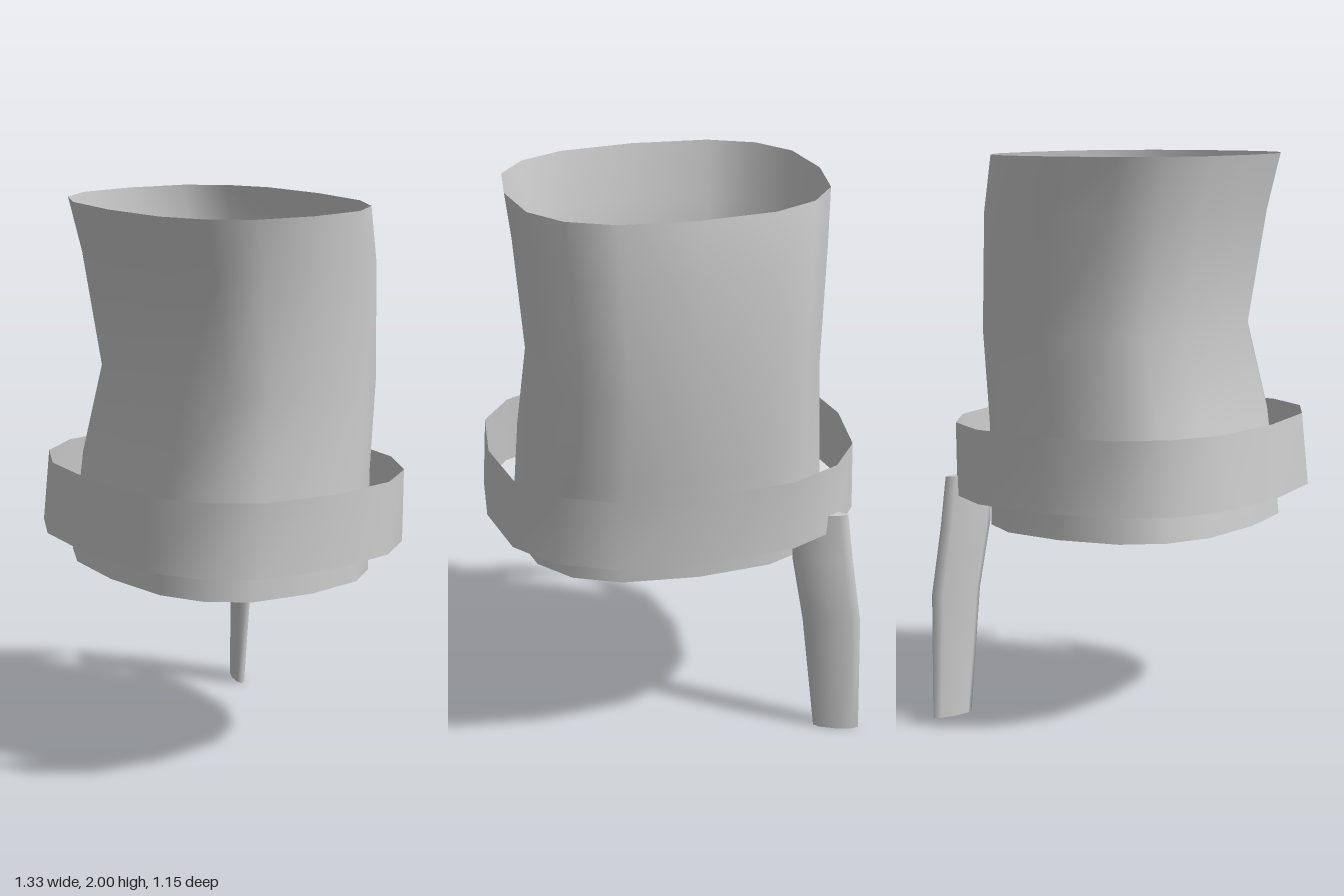
import * as THREE from 'three';

const grey = new THREE.MeshStandardMaterial({ color: 0xcccccc, side: THREE.DoubleSide });
grey.name = 'light grey';

// Joins a stack of closed rings (arrays of [x, y, z]) into a smooth skin
function loft(rings) {
  const n = rings[0].length;
  const index = [];
  for (let i = 0; i < rings.length - 1; i++) {
    for (let j = 0; j < n; j++) {
      const a = i * n + j, b = i * n + (j + 1) % n;
      index.push(a, a + n, b, b, a + n, b + n);
    }
  }
  const geometry = new THREE.BufferGeometry();
  geometry.setAttribute('position', new THREE.Float32BufferAttribute(rings.flat(2), 3));
  geometry.setIndex(index);
  geometry.computeVertexNormals();
  return geometry;
}

// Rounded-square ring with given half width, front z and back z
function bodyRing([y, halfWidth, front, back]) {
  const soft = (v) => Math.sign(v) * Math.pow(Math.abs(v), 0.76);
  const middle = (front + back) / 2, halfDepth = (front - back) / 2;
  return Array.from({ length: 16 }, (_, i) => {
    const t = (i / 16) * Math.PI * 2;
    return [halfWidth * soft(Math.cos(t)), y, middle + halfDepth * soft(Math.sin(t))];
  });
}

// Flat oval ring, turned to follow the back corner of the body
function strapRing([y, x, z, length, thickness]) {
  const turn = 0.37, c = Math.cos(turn), s = Math.sin(turn);
  return Array.from({ length: 8 }, (_, i) => {
    const t = (i / 8) * Math.PI * 2;
    const u = length * Math.cos(t), v = thickness * Math.sin(t);
    return [x + u * c - v * s, y, z + u * s + v * c];
  });
}

export function createModel() {
  const group = new THREE.Group();
  const add = (name, geometry) => {
    const mesh = new THREE.Mesh(geometry, grey);
    mesh.name = name;
    group.add(mesh);
  };

  // Open, waisted sleeve: y, half width, front z, back z
  add('sleeve', loft([
    [0.69, 0.56, 0.475, -0.455],
    [1.06, 0.54, 0.43, -0.465],
    [1.38, 0.515, 0.35, -0.497],
    [1.8, 0.545, 0.42, -0.478],
    [2.0, 0.565, 0.468, -0.44],
  ].map(bodyRing)));

  // Loose band round the lower end
  add('band', loft([
    [0.8, 0.665, 0.575, -0.57],
    [1.06, 0.655, 0.55, -0.577],
  ].map(bodyRing)));

  // Hanging strap: y, centre x, centre z, half length, half thickness
  const strap = [
    [0, -0.528, -0.459, 0.083, 0.02],
    [0.45, -0.498, -0.457, 0.104, 0.033],
    [0.69, -0.465, -0.435, 0.108, 0.031],
    [0.87, -0.452, -0.428, 0.1, 0.024],
  ].map(strapRing);
  add('strap', loft(strap));

  // Flat ends of the strap
  for (const ring of [strap[0], strap[strap.length - 1]]) {
    const y = ring[0][1];
    const outline = new THREE.Shape(ring.map(([x, , z]) => new THREE.Vector2(x, -z)));
    const cap = new THREE.ShapeGeometry(outline);
    if (y === 0) cap.scale(1, -1, 1).rotateX(Math.PI / 2);
    else cap.rotateX(-Math.PI / 2).translate(0, y, 0);
    add('strapEnd', cap);
  }
  return group;
}
